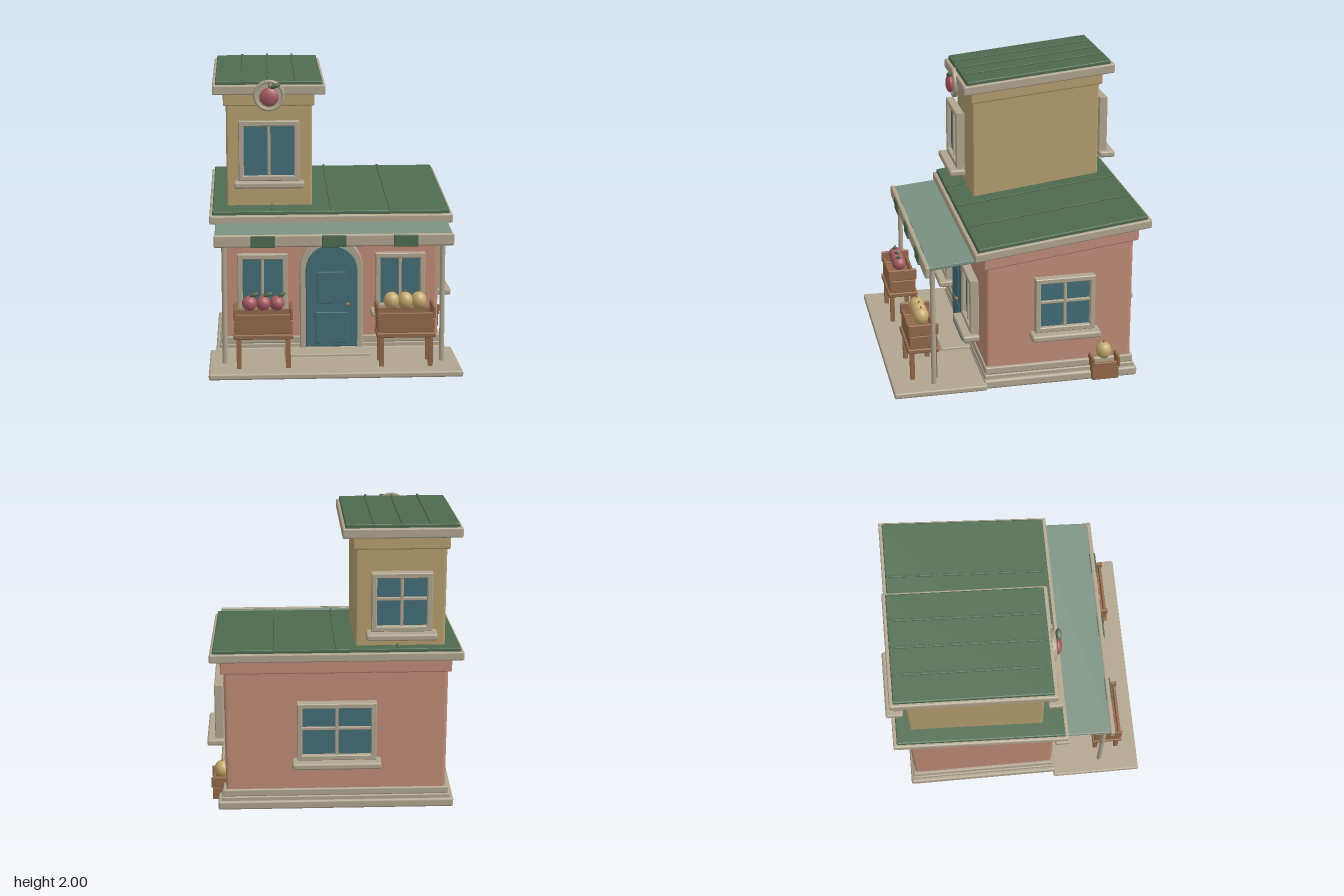
import * as THREE from 'three';
import { RoundedBoxGeometry } from 'three/addons/geometries/RoundedBoxGeometry.js';

const mat = (name, color) => {
  const m = new THREE.MeshStandardMaterial({ color });
  m.name = name;
  return m;
};
const pink = mat('pinkPlaster', 0xc08c78);
const tan = mat('tanPlaster', 0xb59f6f);
const cream = mat('creamTrim', 0xb0a58f);
const green = mat('roofGreen', 0x4f6a50);
const sage = mat('awningSage', 0x7b9082);
const teal = mat('tealPaint', 0x436d77);
const brown = mat('wood', 0x92694a);
const red = mat('appleRed', 0xa65a60);
const gold = mat('melonGold', 0xc4a96e);
const copper = mat('copper', 0xb06c42);

function add(parent, name, geometry, material, x = 0, y = 0, z = 0) {
  const m = new THREE.Mesh(geometry, material);
  m.name = name;
  m.position.set(x, y, z);
  parent.add(m);
  return m;
}

// Bevelled box given by its limits; slope raises it towards the back,
// topOnly keeps the lower half level
function block(parent, name, material, [x0, x1], [y0, y1], [z0, z1], bevel = 0.008, slope = 0, topOnly = false) {
  const g = new RoundedBoxGeometry(x1 - x0, y1 - y0, z1 - z0, 2, bevel);
  g.translate((x0 + x1) / 2, (y0 + y1) / 2, (z0 + z1) / 2);
  if (slope) {
    const p = g.attributes.position, mid = (y0 + y1) / 2;
    for (let i = 0; i < p.count; i++) {
      if (!topOnly || p.getY(i) > mid) p.setY(i, p.getY(i) - slope * p.getZ(i));
    }
    g.computeVertexNormals();
  }
  return add(parent, name, g, material);
}

function group(parent, name, x = 0, y = 0, z = 0, turn = 0) {
  const g = new THREE.Group();
  g.name = name;
  g.position.set(x, y, z);
  g.rotation.y = turn;
  parent.add(g);
  return g;
}

function rectPath(Type, w, h) {
  const s = new Type();
  s.moveTo(-w / 2, -h / 2);
  s.lineTo(w / 2, -h / 2);
  s.lineTo(w / 2, h / 2);
  s.lineTo(-w / 2, h / 2);
  s.closePath();
  return s;
}

// Window facing +z, back of its frame at z = 0, centred on its frame
function windowUnit(parent, name, x, y, z, turn, w, h, crossBar) {
  const g = group(parent, name, x, y, z, turn);
  const s = rectPath(THREE.Shape, w - 0.01, h - 0.01);
  s.holes.push(rectPath(THREE.Path, w - 0.06, h - 0.06));
  const frame = new THREE.ExtrudeGeometry(s, { depth: 0.05, bevelSize: 0.005, bevelThickness: 0.005, bevelSegments: 1 });
  add(g, 'windowFrame', frame, cream, 0, 0, 0.005);
  add(g, 'glass', new THREE.BoxGeometry(w - 0.04, h - 0.04, 0.009), teal, 0, 0, 0.025);
  block(g, 'mullion', cream, [-0.01, 0.01], [-h / 2 + 0.02, h / 2 - 0.02], [0.01, 0.048], 0.004);
  if (crossBar) block(g, 'crossBar', cream, [-w / 2 + 0.02, w / 2 - 0.02], [0.01, 0.03], [0.01, 0.046], 0.004);
  block(g, 'sill', cream, [-w / 2 - 0.033, w / 2 + 0.033], [-h / 2 - 0.045, -h / 2], [0, 0.115], 0.014);
}

// Shed roof: sloped fascia slab, metal sheet and standing seams
function shedRoof(parent, name, [x0, x1], [z0, z1], y, slope, seams, lift) {
  const g = group(parent, name);
  block(g, 'fascia', cream, [x0, x1], [y, y + lift], [z0, z1], 0.01, slope);
  block(g, 'roofSheet', green, [x0 + 0.02, x1 - 0.02], [y + 0.04, y + lift + 0.025], [z0 + 0.025, z1 - 0.025], 0.008, slope);
  for (const sx of seams) {
    block(g, 'roofSeam', green, [sx - 0.008, sx + 0.008], [y + lift, y + lift + 0.036], [z0 + 0.035, z1 - 0.035], 0.003, slope);
  }
}

function leaf(parent, x, y, z, size) {
  const m = add(parent, 'leaf', new THREE.SphereGeometry(size, 12, 8), green, x, y, z);
  m.scale.set(1, 0.4, 0.5);
  m.rotation.z = 0.35;
}

function apple(parent, x, y, z, r, flat = 1) {
  const g = group(parent, 'apple', x, y, z);
  add(g, 'appleBody', new THREE.SphereGeometry(r, 20, 14), red).scale.set(1, 0.98, flat);
  add(g, 'stem', new THREE.CylinderGeometry(r * 0.08, r * 0.1, r * 0.5, 6), brown, 0, r * 1.1, 0);
  leaf(g, r * 0.65, r * 1.18, r * 0.15, r * 0.62);
}

function melon(parent, x, y, z) {
  const g = group(parent, 'melon', x, y, z);
  add(g, 'melonBody', new THREE.SphereGeometry(0.053, 20, 14), gold).scale.set(1, 1.1, 1);
  add(g, 'stem', new THREE.CylinderGeometry(0.005, 0.007, 0.018, 6), brown, 0, 0.062, 0);
}

// Open crate, base at y = 0, long side along x, w and d are full sizes
function crate(parent, x, y, z, turn, w, d, h) {
  const g = group(parent, 'crate', x, y, z, turn);
  const a = w / 2, b = d / 2;
  block(g, 'crateFloor', brown, [-a + 0.01, a - 0.01], [0, h * 0.45], [-b + 0.01, b - 0.01], 0.004);
  for (const s of [-1, 1]) {
    const zs = [s * b - 0.01, s * b + 0.01].map((v) => v - s * 0.01);
    block(g, 'sidePlank', brown, [-a + 0.01, a - 0.01], [0, h * 0.75], zs, 0.005);
    const xs = [s * a - 0.01, s * a + 0.01].map((v) => v - s * 0.01);
    block(g, 'lowerEndPlank', brown, xs, [0, h * 0.52], [-b, b], 0.005);
    block(g, 'upperEndPlank', brown, xs.map((v) => v + s * 0.006), [h * 0.54, h], [-b - 0.008, b + 0.008], 0.006);
  }
}

function stall(parent, name, x, fruit) {
  const g = group(parent, name, x, 0, 0.665);
  block(g, 'tableTop', brown, [-0.195, 0.195], [0.247, 0.28], [-0.107, 0.107], 0.008);
  for (const sx of [-1, 1]) for (const sz of [-1, 1]) {
    add(g, 'tableLeg', new THREE.BoxGeometry(0.03, 0.21, 0.03), brown, sx * 0.162, 0.15, sz * 0.076);
  }
  crate(g, 0, 0.28, 0, 0, 0.376, 0.186, 0.175);
  for (const i of [-1, 0, 1]) fruit(g, i);
}

// Arched outline with straight sides from y0 up to the spring line
function arch(Type, r, y0, spring) {
  const s = new Type();
  s.moveTo(-r, y0);
  s.lineTo(r, y0);
  s.lineTo(r, spring);
  s.absarc(0, spring, r, 0, Math.PI, false);
  s.lineTo(-r, y0);
  return s;
}

export function createModel() {
  const model = new THREE.Group();
  model.name = 'fruitShop';

  // Base, porch and main walls
  block(model, 'porchSlab', cream, [-0.848, 0.81], [0.01, 0.05], [0.265, 0.89], 0.012);
  block(model, 'foundation', cream, [-0.81, 0.77], [0, 0.062], [-0.78, 0.28], 0.015);
  block(model, 'plinth', cream, [-0.785, 0.745], [0.05, 0.09], [-0.765, 0.272], 0.008);
  block(model, 'baseTrim', cream, [-0.775, 0.735], [0.088, 0.14], [-0.757, 0.267], 0.01);
  block(model, 'mainWalls', pink, [-0.755, 0.715], [0.06, 1.0], [-0.745, 0.255], 0.022, 0.128, true);
  block(model, 'wallTopTrim', pink, [-0.775, 0.735], [0.88, 0.995], [-0.775, 0.272], 0.01, 0.128);
  shedRoof(model, 'mainRoof', [-0.845, 0.802], [-0.842, 0.345], 0.978, 0.128, [-0.42, -0.02, 0.38], 0.058);

  // Tower
  block(model, 'towerWalls', tan, [-0.728, -0.145], [0.98, 1.85], [-0.725, 0.175], 0.015, 0.1, true);
  block(model, 'towerTopTrim', tan, [-0.747, -0.127], [1.735, 1.84], [-0.745, 0.187], 0.01, 0.1);
  shedRoof(model, 'towerRoof', [-0.818, -0.056], [-0.81, 0.25], 1.823, 0.1, [-0.615, -0.435, -0.255], 0.065);

  // Windows
  windowUnit(model, 'towerFrontWindow', -0.44, 1.422, 0.214, 0, 0.41, 0.405, false);
  windowUnit(model, 'towerBackWindow', -0.437, 1.478, -0.757, Math.PI, 0.39, 0.395, true);
  windowUnit(model, 'backWindow', -0.022, 0.588, -0.777, Math.PI, 0.52, 0.405, true);
  windowUnit(model, 'sideWindow', 0.73, 0.582, -0.267, Math.PI / 2, 0.405, 0.385, true);
  for (const x of [-0.49, 0.447]) windowUnit(model, 'frontWindow', x, 0.535, 0.285, 0, 0.34, 0.385, false);

  // Door with arched surround and step
  const door = group(model, 'entrance', -0.02, 0, 0);
  const surround = arch(THREE.Shape, 0.21, 0.06, 0.62);
  surround.holes.push(arch(THREE.Path, 0.172, 0.065, 0.61));
  add(door, 'doorSurround', new THREE.ExtrudeGeometry(surround,
    { depth: 0.045, bevelSize: 0.006, bevelThickness: 0.006, bevelSegments: 1, curveSegments: 20 }), cream, 0, 0, 0.25);
  add(door, 'doorLeaf', new THREE.ExtrudeGeometry(arch(THREE.Shape, 0.17, 0.08, 0.607),
    { depth: 0.06, bevelSize: 0.006, bevelThickness: 0.006, bevelSegments: 1, curveSegments: 20 }), teal, 0, 0, 0.255);
  block(door, 'upperPanel', teal, [-0.1, 0.095], [0.38, 0.6], [0.315, 0.33], 0.005);
  block(door, 'lowerPanel', teal, [-0.11, 0.108], [0.1, 0.318], [0.315, 0.33], 0.005);
  add(door, 'doorKnob', new THREE.SphereGeometry(0.014, 12, 8), copper, 0.107, 0.375, 0.343);
  block(door, 'doorStep', cream, [-0.325, 0.25], [0.04, 0.066], [0.26, 0.48], 0.008);

  // Awning on two posts
  block(model, 'awningSheet', sage, [-0.805, 0.765], [0.955, 0.98], [0.26, 0.66], 0.006, 0.1);
  block(model, 'awningValance', cream, [-0.812, 0.77], [0.84, 0.922], [0.635, 0.668], 0.012);
  for (const x of [-0.49, -0.022, 0.45]) {
    block(model, 'valanceTab', green, [x - 0.08, x + 0.08], [0.838, 0.918], [0.63, 0.676], 0.006);
  }
  for (const x of [-0.745, 0.7]) {
    add(model, 'awningPost', new THREE.CylinderGeometry(0.017, 0.017, 0.86, 12), cream, x, 0.475, 0.61);
  }

  // Round fruit sign
  const sign = group(model, 'roundSign', -0.437, 1.795, 0.25);
  const disc = add(sign, 'signDisc', new THREE.CylinderGeometry(0.105, 0.105, 0.02, 36), cream);
  disc.rotation.x = Math.PI / 2;
  add(sign, 'signRim', new THREE.TorusGeometry(0.094, 0.012, 8, 36), cream, 0, 0, 0.008);
  apple(sign, 0, -0.008, 0.03, 0.064, 0.45);

  // Fruit stalls and side crate
  stall(model, 'appleStall', -0.49, (g, i) => apple(g, i * 0.09, 0.47, 0.01, 0.05));
  stall(model, 'melonStall', 0.447, (g, i) => melon(g, i * 0.09, 0.475, 0));
  crate(model, 0.745, 0.012, -0.548, Math.PI / 2, 0.185, 0.13, 0.165);
  melon(model, 0.745, 0.2, -0.548);

  return model;
}
